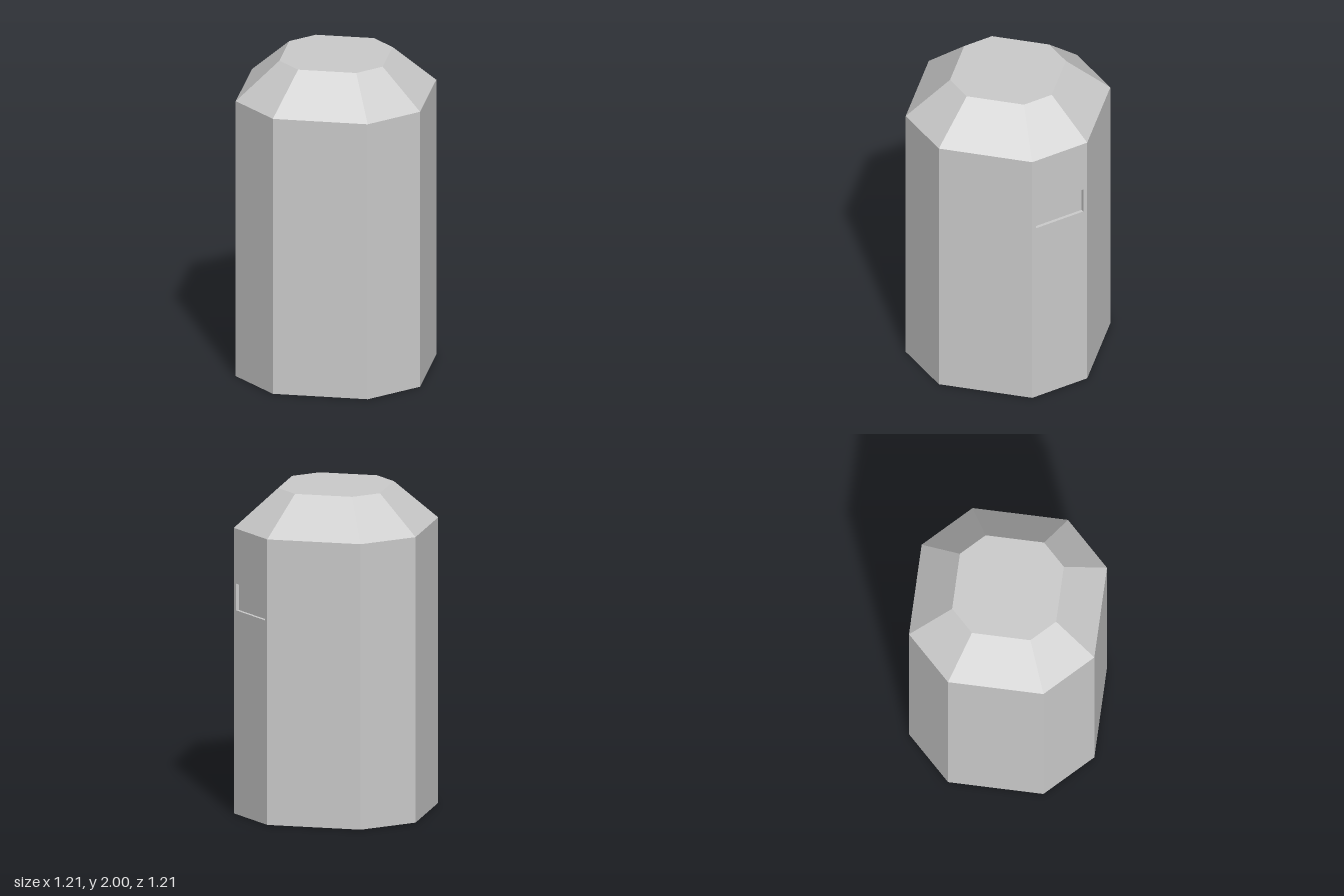
import * as THREE from 'three';

const material = new THREE.MeshStandardMaterial({ color: 0xcccccc, flatShading: true, side: THREE.DoubleSide });

// Eight corners with long diagonals: r is the half width, s the half length of a straight side.
// The first two corners bound the back (-z) side; the order gives outward-facing walls.
const octagon = (r, s, y) =>
  [[s, -r], [-s, -r], [-r, -s], [-r, s], [-s, r], [s, r], [r, s], [r, -s]]
    .map(([x, z]) => new THREE.Vector3(x, y, z));

// Flat quads joining a lower ring to an upper ring, leaving out the first `skip` sides.
function band(lower, upper, skip = 0) {
  const points = [];
  for (let i = skip; i < lower.length; i++) {
    const j = (i + 1) % lower.length;
    points.push(lower[i], lower[j], upper[j], lower[i], upper[j], upper[i]);
  }
  const geometry = new THREE.BufferGeometry().setFromPoints(points);
  geometry.computeVertexNormals();
  return geometry;
}

export function createModel() {
  const group = new THREE.Group();
  const add = (name, geometry) => {
    const mesh = new THREE.Mesh(geometry, material);
    mesh.name = name;
    group.add(mesh);
    return mesh;
  };

  const R = 0.605, S = 0.194, EAVES = 1.765, TOP = 2;
  const r = 0.35, s = 0.098;
  const slot = { half: 0.167, low: 1.26, high: 1.425, depth: 0.02 };

  // Seven plain walls; the body is open underneath
  add('walls', band(octagon(R, S, 0), octagon(R, S, EAVES), 1));

  // Back wall with the slot opening
  const rectangle = (half, low, high) => [[-half, low], [half, low], [half, high], [-half, high]]
    .map(([x, y]) => new THREE.Vector2(x, y));
  const wall = new THREE.Shape(rectangle(S, 0, EAVES));
  const opening = rectangle(slot.half, slot.low, slot.high);
  wall.holes.push(new THREE.Path(opening));
  const backWall = add('backWall', new THREE.ShapeGeometry(wall));
  backWall.rotation.y = Math.PI;
  backWall.position.z = -R;

  // Shallow recess behind the opening: rim and rear panel
  const ringAt = (z) => opening.map((p) => new THREE.Vector3(p.x, p.y, z));
  add('slotRim', band(ringAt(-R), ringAt(-R + slot.depth)));
  const panel = add('slotPanel', new THREE.PlaneGeometry(slot.half * 2, slot.high - slot.low));
  panel.rotation.y = Math.PI;
  panel.position.set(0, (slot.low + slot.high) / 2, -R + slot.depth);

  // Sloping roof and its flat cap
  add('roof', band(octagon(R, S, EAVES), octagon(r, s, TOP)));
  const capShape = new THREE.Shape(octagon(r, s, 0).map((p) => new THREE.Vector2(p.x, -p.z)));
  const cap = add('roofCap', new THREE.ShapeGeometry(capShape));
  cap.rotation.x = -Math.PI / 2;
  cap.position.y = TOP;

  return group;
}
